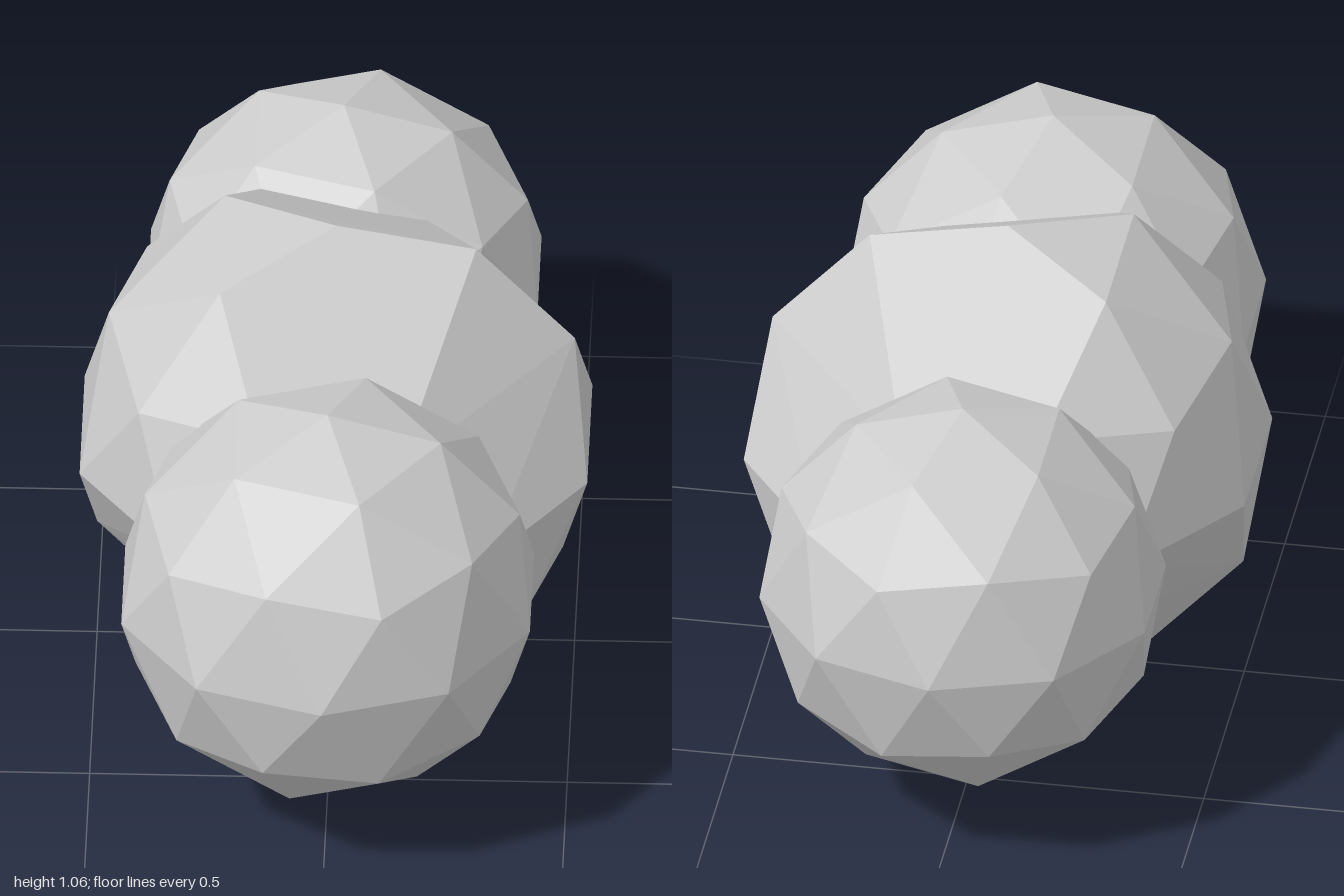
import * as THREE from 'three';
import { mergeVertices } from 'three/addons/utils/BufferGeometryUtils.js';
import { ConvexGeometry } from 'three/addons/geometries/ConvexGeometry.js';

const MID_Y = 0.525;

// Faceted ball with a five-sided pole pointing up
function facetedBall(radius) {
  const ball = new THREE.IcosahedronGeometry(radius, 1);
  ball.rotateZ(-Math.atan(2 / (1 + Math.sqrt(5))));
  return ball;
}

// Unit direction from azimuth (from +x towards +z) and latitude, in degrees
function direction(azimuth, latitude) {
  const a = THREE.MathUtils.degToRad(azimuth);
  const l = THREE.MathUtils.degToRad(latitude);
  return new THREE.Vector3(Math.cos(l) * Math.cos(a), Math.sin(l), Math.cos(l) * Math.sin(a));
}

// Larger ball with some corners planed off into broad flat faces
function planedBall(radius) {
  const source = facetedBall(radius);
  source.deleteAttribute('normal');
  source.deleteAttribute('uv');
  const position = mergeVertices(source, 1e-3).getAttribute('position');

  const cut = [direction(72, 58.28), direction(-72, 58.28), direction(36, 31.72), direction(-36, 31.72)];
  const lowered = [direction(0, 90), direction(72, 26.57), direction(-72, 26.57)];
  // The pattern repeats on the opposite side, so test both signs
  const matches = (dirs, p) => dirs.some((d) => Math.abs(d.dot(p)) > 0.99 * p.length());

  const points = [];
  for (let i = 0; i < position.count; i++) {
    const p = new THREE.Vector3().fromBufferAttribute(position, i);
    if (matches(cut, p)) continue;
    if (matches(lowered, p)) p.multiplyScalar(0.9487);
    points.push(p);
  }
  return new ConvexGeometry(points);
}

export function createModel() {
  const model = new THREE.Group();
  model.name = 'threeBalls';
  const grey = new THREE.MeshStandardMaterial({ color: 0xcccccc, flatShading: true });
  grey.name = 'lightGrey';

  const add = (name, geometry, z) => {
    const mesh = new THREE.Mesh(geometry, grey);
    mesh.name = name;
    mesh.position.set(0, MID_Y, z);
    model.add(mesh);
  };

  add('frontBall', facetedBall(0.45), 0.55);
  add('middleBall', planedBall(0.559), -0.01);
  add('backBall', facetedBall(0.43), -0.57);
  return model;
}
